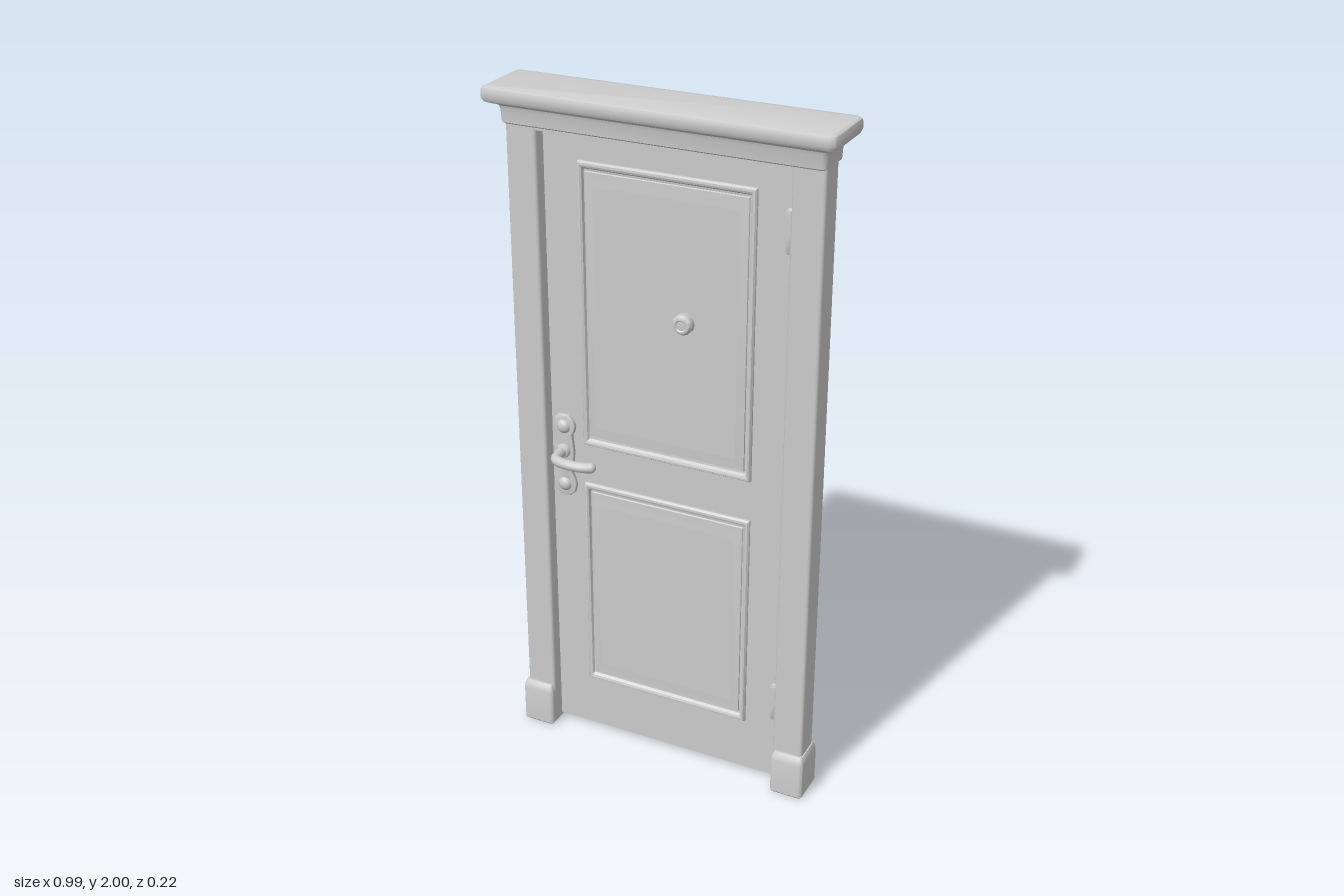
import * as THREE from 'three';
import { toCreasedNormals } from 'three/addons/utils/BufferGeometryUtils.js';
import { RoundedBoxGeometry } from 'three/addons/geometries/RoundedBoxGeometry.js';

const material = new THREE.MeshStandardMaterial({ color: 0xcccccc });

function add(parent, name, geometry, x = 0, y = 0, z = 0) {
  const mesh = new THREE.Mesh(geometry, material);
  mesh.name = name;
  mesh.position.set(x, y, z);
  parent.add(mesh);
  return mesh;
}

// Capped loft through rounded rectangles [halfX, halfY, z, cornerRadius] stacked along z.
function loft(rings, crease = 0.6) {
  const seg = 4, n = 4 * (seg + 1), pos = [], idx = [];
  for (const [hx, hy, z, r] of rings) {
    for (let c = 0; c < 4; c++) {
      const sx = c === 0 || c === 3 ? 1 : -1, sy = c < 2 ? 1 : -1;
      for (let i = 0; i <= seg; i++) {
        const a = (c + i / seg) * Math.PI / 2;
        pos.push(sx * (hx - r) + r * Math.cos(a), sy * (hy - r) + r * Math.sin(a), z);
      }
    }
  }
  for (let k = 0; k < rings.length - 1; k++) {
    for (let i = 0; i < n; i++) {
      const a = k * n + i, b = k * n + (i + 1) % n;
      idx.push(a, b, b + n, a, b + n, a + n);
    }
  }
  const top = (rings.length - 1) * n;
  for (let i = 1; i < n - 1; i++) {
    idx.push(0, i + 1, i);
    idx.push(top, top + i, top + i + 1);
  }
  const g = new THREE.BufferGeometry();
  g.setAttribute('position', new THREE.Float32BufferAttribute(pos, 3));
  g.setIndex(idx);
  return toCreasedNormals(g, crease);
}

// Loft standing upright, its stacking axis turned to y.
const upright = (rings) => loft(rings).rotateX(-Math.PI / 2);

// Moulding, groove and raised field: [inset x, inset y, height]
const PANEL = [
  [0, 0, -0.004], [0, 0, 0.006], [0.004, 0.004, 0.012], [0.009, 0.01, 0.013], [0.014, 0.016, 0.01],
  [0.017, 0.021, 0.002], [0.021, 0.027, 0.001], [0.022, 0.029, 0.005], [0.044, 0.062, 0.011], [0.047, 0.067, 0.011],
];
function panel(w, h) {
  return loft(PANEL.map(([ix, iy, z]) => [w / 2 - ix, h / 2 - iy, z, 0.002]), 0.4);
}

// Lobed escutcheon outline, [half width, y] about the lever height
function escutcheon() {
  const half = [[0.014, -0.14], [0.028, -0.128], [0.033, -0.108], [0.029, -0.088], [0.021, -0.07], [0.024, -0.04],
    [0.027, 0], [0.024, 0.03], [0.021, 0.05], [0.029, 0.064], [0.032, 0.08], [0.026, 0.097], [0.013, 0.108]];
  const pts = [...half, ...half.map(([x, y]) => [-x, y]).reverse()].map(([x, y]) => new THREE.Vector2(x, y));
  const g = new THREE.ExtrudeGeometry(new THREE.Shape(pts), {
    depth: 0.006, bevelEnabled: true, bevelThickness: 0.005, bevelSize: 0.004, bevelSegments: 3,
  });
  return toCreasedNormals(g, 0.6);
}

function lathe(points, segments) {
  return new THREE.LatheGeometry(points.map(([r, y]) => new THREE.Vector2(r, y)), segments).rotateX(Math.PI / 2);
}

// Lever handle facing +z; s = direction of the grip in x, reach = distance from the door face
function handle(s, reach) {
  const g = new THREE.Group();
  g.name = 'doorHandle';
  add(g, 'handlePlate', escutcheon());
  const dome = [[0.022, 0], [0.021, 0.012], [0.015, 0.019], [0.008, 0.022], [0, 0.023]];
  add(g, 'plateUpperBoss', lathe(dome, 20), 0, 0.076, 0);
  add(g, 'plateLowerBoss', lathe(dome, 20), 0, -0.108, 0);
  add(g, 'handleCollar', lathe([[0.021, 0], [0.021, 0.016], [0.015, 0.024], [0, 0.024]], 20));
  const r = 0.015, out = reach - r;
  const path = new THREE.CatmullRomCurve3([
    [0, 0], [0, out * 0.5], [0.008, out * 0.84], [0.035, out * 0.98], [0.075, out], [0.105, out * 0.94], [0.12, out * 0.86],
  ].map(([x, z]) => new THREE.Vector3(s * x, 0, z)));
  add(g, 'handleLever', new THREE.TubeGeometry(path, 36, r, 12));
  add(g, 'leverTip', new THREE.SphereGeometry(r * 1.03, 14, 10), s * 0.12, 0, out * 0.86);
  return g;
}

// Everything on one face of the door: s = 1 front, s = -1 back
function doorFace(s, faceZ, reach) {
  const g = new THREE.Group();
  g.name = s > 0 ? 'doorFront' : 'doorBack';
  g.position.z = faceZ;
  if (s < 0) g.rotation.y = Math.PI;
  add(g, 'upperPanel', panel(0.515, 0.835), 0, 1.393, 0);
  add(g, 'lowerPanel', panel(0.515, 0.672), 0, 0.518, 0);
  add(g, 'peephole', toCreasedNormals(lathe(
    [[0.029, 0.005], [0.029, 0.028], [0.023, 0.036], [0.017, 0.038], [0.014, 0.035], [0, 0.034]], 12), 0.6), s * 0.06, 1.41, 0);
  const h = handle(s, reach);
  h.position.set(s * -0.32, 0.945, 0);
  g.add(h);
  return g;
}

export function createModel() {
  const model = new THREE.Group();
  model.name = 'panelDoor';
  const frontZ = 0.006, backZ = -0.036;

  // Door leaf
  add(model, 'doorLeaf', new THREE.BoxGeometry(0.732, 1.88, frontZ - backZ), 0, 0.955, (frontZ + backZ) / 2);
  model.add(doorFace(1, frontZ, 0.1));
  model.add(doorFace(-1, backZ, 0.073));

  // Jambs with plinth blocks
  for (const s of [-1, 1]) {
    add(model, s > 0 ? 'leftJamb' : 'rightJamb',
      new RoundedBoxGeometry(0.091, 1.87, 0.083, 3, 0.009), s * 0.407, 0.975, 0.004);
    add(model, s > 0 ? 'leftPlinth' : 'rightPlinth', upright([
      [0.046, 0.053, 0, 0.008], [0.05, 0.057, 0.005, 0.01], [0.05, 0.057, 0.115, 0.01],
      [0.048, 0.054, 0.128, 0.01], [0.044, 0.046, 0.14, 0.01],
    ]), s * 0.412, 0, 0.006);
  }

  // Head of the frame and stepped cornice
  add(model, 'frameHead', new THREE.BoxGeometry(0.82, 0.03, 0.08), 0, 1.9, 0.004);
  add(model, 'cornice', upright([
    [0.45, 0.053, 1.896, 0.01], [0.457, 0.058, 1.9, 0.014], [0.459, 0.059, 1.935, 0.014],
    [0.462, 0.062, 1.945, 0.014], [0.469, 0.07, 1.951, 0.014], [0.48, 0.084, 1.955, 0.014],
    [0.489, 0.094, 1.96, 0.016], [0.494, 0.099, 1.97, 0.018], [0.494, 0.099, 1.987, 0.018],
    [0.491, 0.096, 1.996, 0.016], [0.484, 0.089, 2, 0.012],
  ]), 0, 0, 0.004);

  // Hinges: leaf and barrel beside the jamb
  for (const y of [1.71, 0.278]) {
    add(model, 'hingeLeaf', loft([
      [0.019, 0.062, 0, 0.014], [0.019, 0.062, 0.006, 0.014], [0.016, 0.059, 0.008, 0.012],
    ]), 0.353, y, frontZ - 0.001);
    add(model, 'hingeBarrel', new THREE.CylinderGeometry(0.007, 0.007, 0.115, 12), 0.358, y, frontZ + 0.009);
  }
  return model;
}
